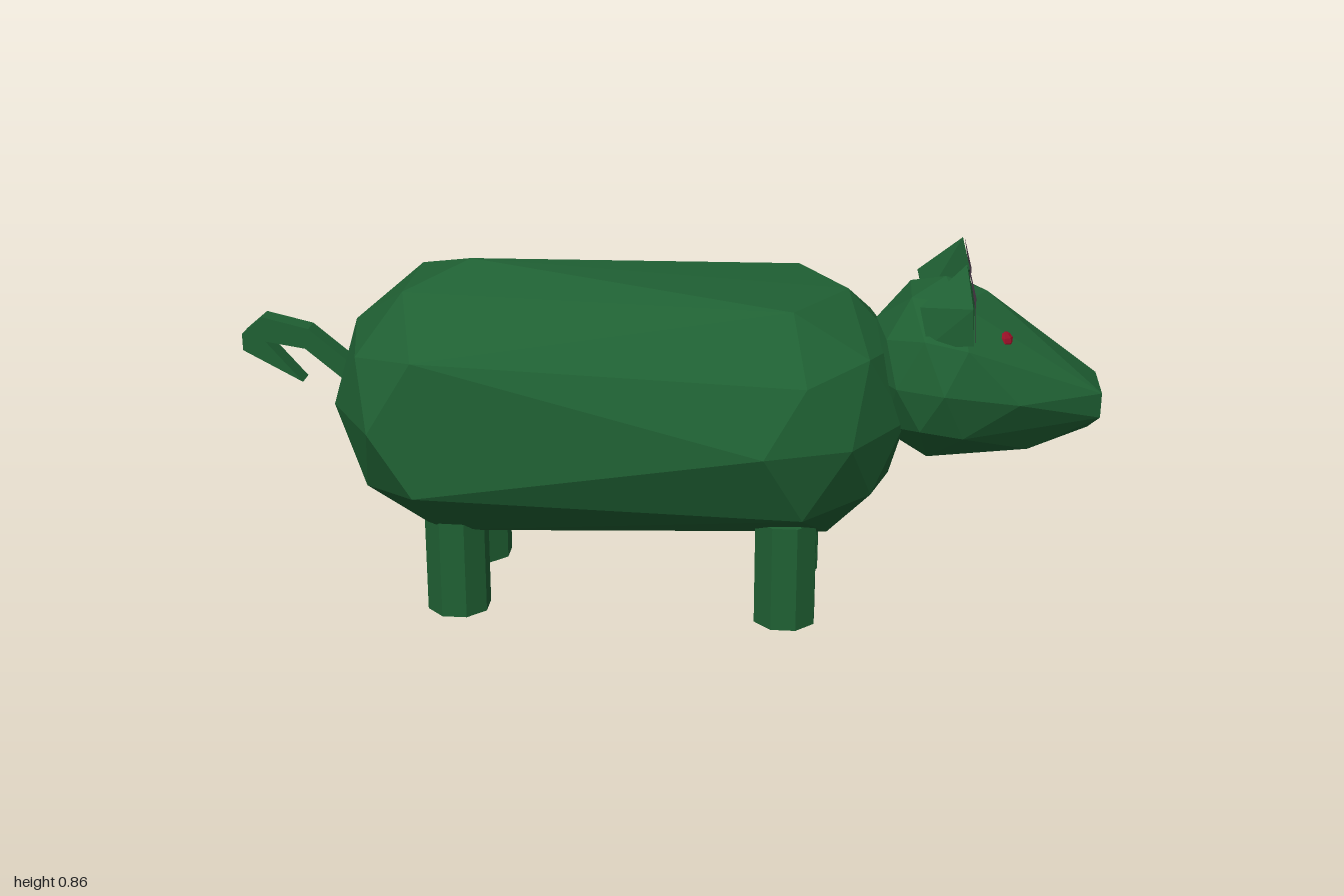
import * as THREE from 'three';
import { ConvexGeometry } from 'three/addons/geometries/ConvexGeometry.js';

const mat = (color, side = THREE.FrontSide) =>
  new THREE.MeshStandardMaterial({ color, side, flatShading: true });
const skin = mat(0x1f6033);
const earInner = mat(0x5d4a5c, THREE.DoubleSide);
const eyeRed = mat(0x960f26);

const V = (x, y, z) => new THREE.Vector3(x, y, z);

// Corner points of a once-subdivided icosahedron standing on a pole
function icoPoints() {
  const points = [V(0, 1, 0), V(0, -1, 0)];
  const rings = [[0.851, 0.526, 0], [0.526, 0.851, 36], [0.447, 0.894, 0]];
  for (const [y, r, phase] of rings) {
    for (let i = 0; i < 5; i++) {
      const a = THREE.MathUtils.degToRad(phase + 72 * i);
      const x = r * Math.cos(a), z = r * Math.sin(a);
      points.push(V(x, y, z), V(-x, -y, -z));
    }
  }
  for (let i = 0; i < 10; i++) {
    const a = THREE.MathUtils.degToRad(18 + 36 * i);
    points.push(V(Math.cos(a), 0, Math.sin(a)));
  }
  return points;
}

function add(parent, name, geometry, material, x = 0, y = 0, z = 0) {
  const mesh = new THREE.Mesh(geometry, material);
  mesh.name = name;
  mesh.position.set(x, y, z);
  parent.add(mesh);
  return mesh;
}

export function createModel() {
  const model = new THREE.Group();
  model.name = 'pig';

  // Body: faceted ball pulled apart lengthwise
  const bodyPoints = icoPoints().map((p) => {
    const inFront = p.x > 0.01 || (Math.abs(p.x) < 0.01 && p.z > 0.9);
    return V((inFront ? 0.25 : -0.45) + p.x * 0.325, 0.485 + p.y * 0.325, p.z * 0.39);
  });
  add(model, 'body', new ConvexGeometry(bodyPoints), skin);

  // Head: faceted ball drawn out into a jaw and a blunt snout
  const head = new THREE.Group();
  head.name = 'head';
  head.position.z = -0.008;
  model.add(head);
  const headPoints = icoPoints().map((p) =>
    V(0.64 + p.x * 0.18, 0.58 + p.y * 0.215, p.z * 0.22));
  for (const s of [-1, 1]) {
    headPoints.push(
      V(0.96, 0.582, 0.06 * s), V(1, 0.55, 0.075 * s), V(1, 0.49, 0.07 * s),
      V(0.975, 0.46, 0.05 * s), V(0.84, 0.412, 0.08 * s), V(0.81, 0.55, 0.175 * s));
  }
  add(head, 'skull', new ConvexGeometry(headPoints), skin);

  // Ears and eyes
  for (const s of [-1, 1]) {
    const side = s > 0 ? 'left' : 'right';
    const front = [
      V(0.7, 0.69, 0.187 * s), V(0.695, 0.775, 0.187 * s),
      V(0.68, 0.856, 0.113 * s), V(0.7, 0.78, 0.113 * s)];
    const back = [V(0.58, 0.765, 0.15 * s), V(0.6, 0.68, 0.17 * s), V(0.6, 0.7, 0.12 * s)];
    add(head, side + 'Ear', new ConvexGeometry([...front, ...back]), skin);

    const inner = new THREE.BufferGeometry().setFromPoints(front);
    inner.setIndex(s > 0 ? [0, 1, 3, 1, 2, 3] : [0, 3, 1, 1, 3, 2]);
    inner.computeVertexNormals();
    add(head, side + 'InnerEar', inner, earInner, 0.004);

    const eye = add(head, side + 'Eye', new THREE.SphereGeometry(1, 8, 6), eyeRed,
      0.772, 0.677, 0.097 * s);
    eye.scale.set(0.021, 0.021, 0.025);
  }

  // Legs
  for (const [name, x, height] of [['front', 0.295, 0.255], ['back', -0.475, 0.25]]) {
    for (const s of [-1, 1]) {
      const leg = new THREE.CylinderGeometry(0.0755, 0.0755, height, 8);
      leg.rotateY(Math.PI / 8);
      add(model, name + (s > 0 ? 'Left' : 'Right') + 'Leg', leg, skin, x, height / 2, 0.155 * s);
    }
  }

  // Curled tail with a pointed tip
  const outline = [
    [-0.7, 0.515], [-0.84, 0.632], [-0.95, 0.658], [-1, 0.615], [-1, 0.575],
    [-0.86, 0.5], [-0.945, 0.598], [-0.85, 0.583], [-0.72, 0.475],
  ].map(([x, y]) => new THREE.Vector2(x, y));
  const tail = new THREE.ExtrudeGeometry(new THREE.Shape(outline), { depth: 0.05, bevelEnabled: false });
  add(model, 'tail', tail, skin, 0, 0, -0.03);

  return model;
}
